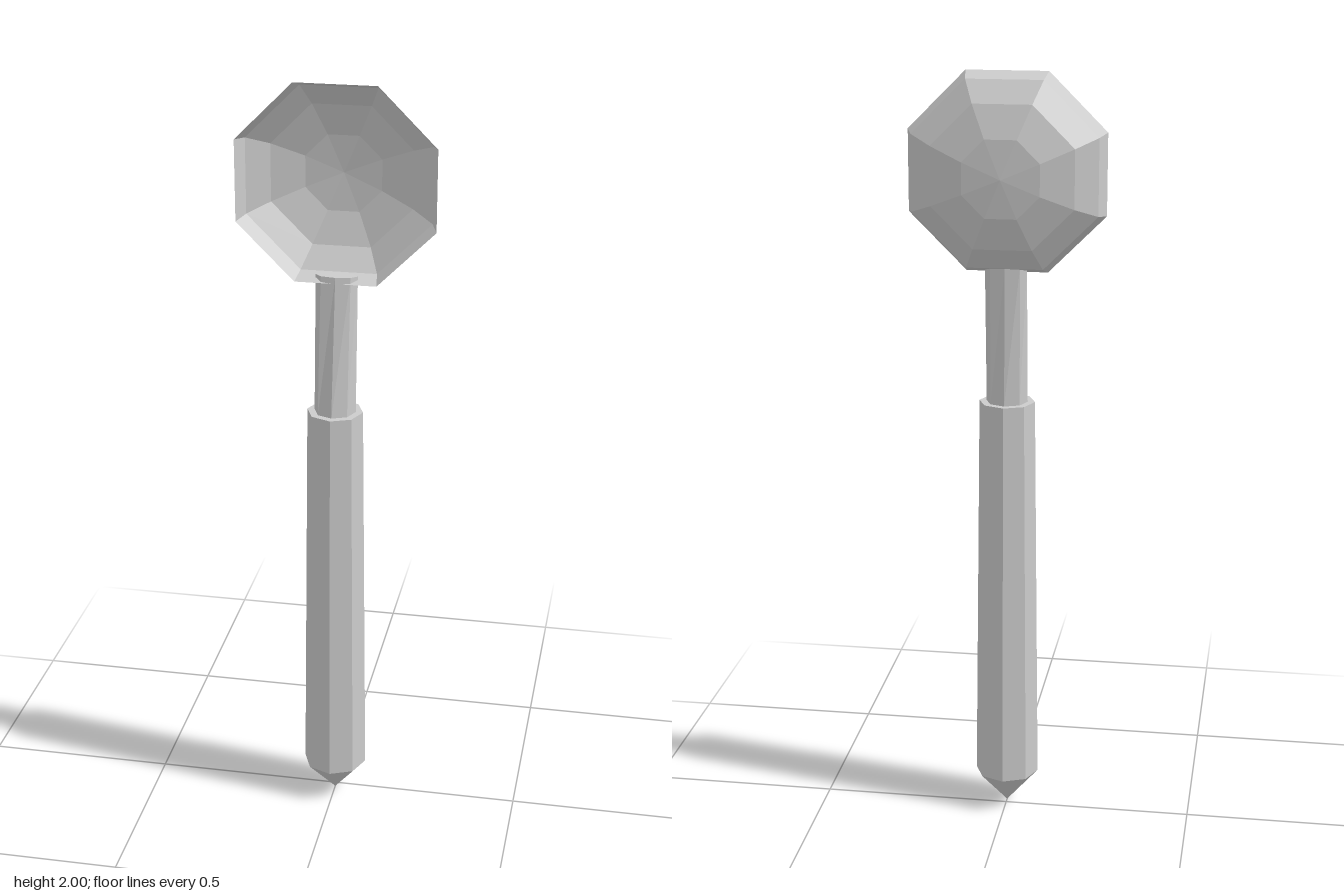
import * as THREE from 'three';

const SIDES = 8;
const AXIS_Z = 0.018; // shared depth of the handle axis and the bowl rim

const material = new THREE.MeshStandardMaterial({
  color: 0xcccccc, flatShading: true, side: THREE.DoubleSide,
});

function lathe(points, phi = 0) {
  return new THREE.LatheGeometry(points.map(([r, h]) => new THREE.Vector2(r, h)), SIDES, phi);
}

export function createModel() {
  const group = new THREE.Group();
  const add = (name, geometry) => {
    const mesh = new THREE.Mesh(geometry, material);
    mesh.name = name;
    group.add(mesh);
  };

  // Tapered octagonal grip with a pointed end and a flat top
  const grip = lathe([[0, 0], [0.085, 0.095], [0.073, 1.15], [0, 1.15]]);
  add('grip', grip.translate(0, 0, AXIS_Z));

  // Neck: round at the grip, flattened and leaning back at the bowl
  const y0 = 1.15, y1 = 1.51;
  const neck = new THREE.CylinderGeometry(0.054, 0.054, y1 - y0, SIDES);
  neck.translate(0, (y0 + y1) / 2, 0);
  const p = neck.attributes.position;
  for (let i = 0; i < p.count; i++) {
    const t = (p.getY(i) - y0) / (y1 - y0);
    const flatten = THREE.MathUtils.lerp(1, 0.4, t);
    p.setZ(i, p.getZ(i) * flatten + THREE.MathUtils.lerp(AXIS_Z, -0.004, t));
  }
  neck.computeVertexNormals();
  add('neck', neck);

  // Shallow open bowl, hollow towards the front
  const bowl = lathe([
    [0, -0.105], [0.106, -0.097], [0.196, -0.07], [0.256, -0.03], [0.274, AXIS_Z],
  ], Math.PI / SIDES);
  add('bowl', bowl.rotateX(Math.PI / 2).translate(0, 1.747, 0));

  return group;
}
